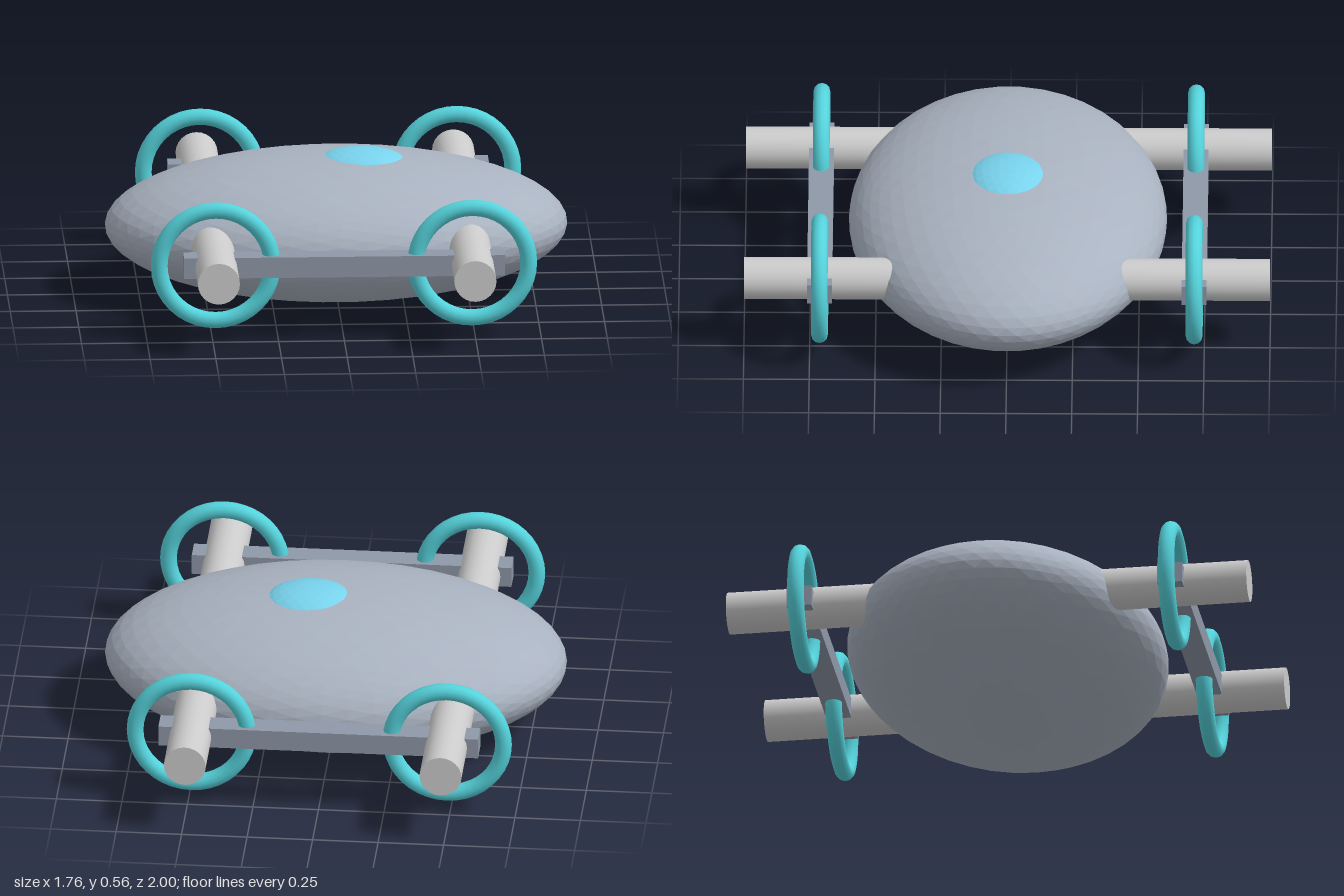
import * as THREE from 'three';

const mat = (color, flatShading = false) => new THREE.MeshStandardMaterial({ color, flatShading });

export function createModel() {
  const group = new THREE.Group();
  const hull = mat(0xa9b2c0, true);
  const glass = mat(0x78d2ec, true);
  const ringMat = mat(0x55d3dc);
  const barMat = mat(0x8f98a8);
  const podMat = mat(0xcccccc);

  const add = (name, geometry, material, x, y, z) => {
    const mesh = new THREE.Mesh(geometry, material);
    mesh.name = name;
    mesh.position.set(x, y, z);
    group.add(mesh);
    return mesh;
  };

  // Faceted ellipsoid hull and the shallow canopy breaking through its top
  add('body', new THREE.IcosahedronGeometry(1, 8).scale(0.88, 0.27, 0.605), hull, 0, 0.275, 0);
  add('canopy', new THREE.IcosahedronGeometry(1, 4).scale(0.184, 0.07, 0.16), glass, 0.095, 0.498, 0);

  const podGeo = new THREE.CylinderGeometry(0.08, 0.08, 0.7, 24).rotateX(Math.PI / 2);
  const ringGeo = new THREE.TorusGeometry(0.215, 0.032, 12, 40);
  const barGeo = new THREE.BoxGeometry(1.22, 0.08, 0.095);

  // Front and back: a cross bar joining two pods, each circled by a ring
  for (const sz of [1, -1]) {
    const end = sz > 0 ? 'front' : 'back';
    add(end + 'Bar', barGeo, barMat, 0, 0.298, sz * 0.712);
    for (const sx of [1, -1]) {
      const side = sx > 0 ? 'Left' : 'Right';
      add(end + side + 'Pod', podGeo, podMat, sx * 0.488, 0.298, sz * 0.65);
      add(end + side + 'Ring', ringGeo, ringMat, sx * 0.488, 0.298, sz * 0.712);
    }
  }
  return group;
}
